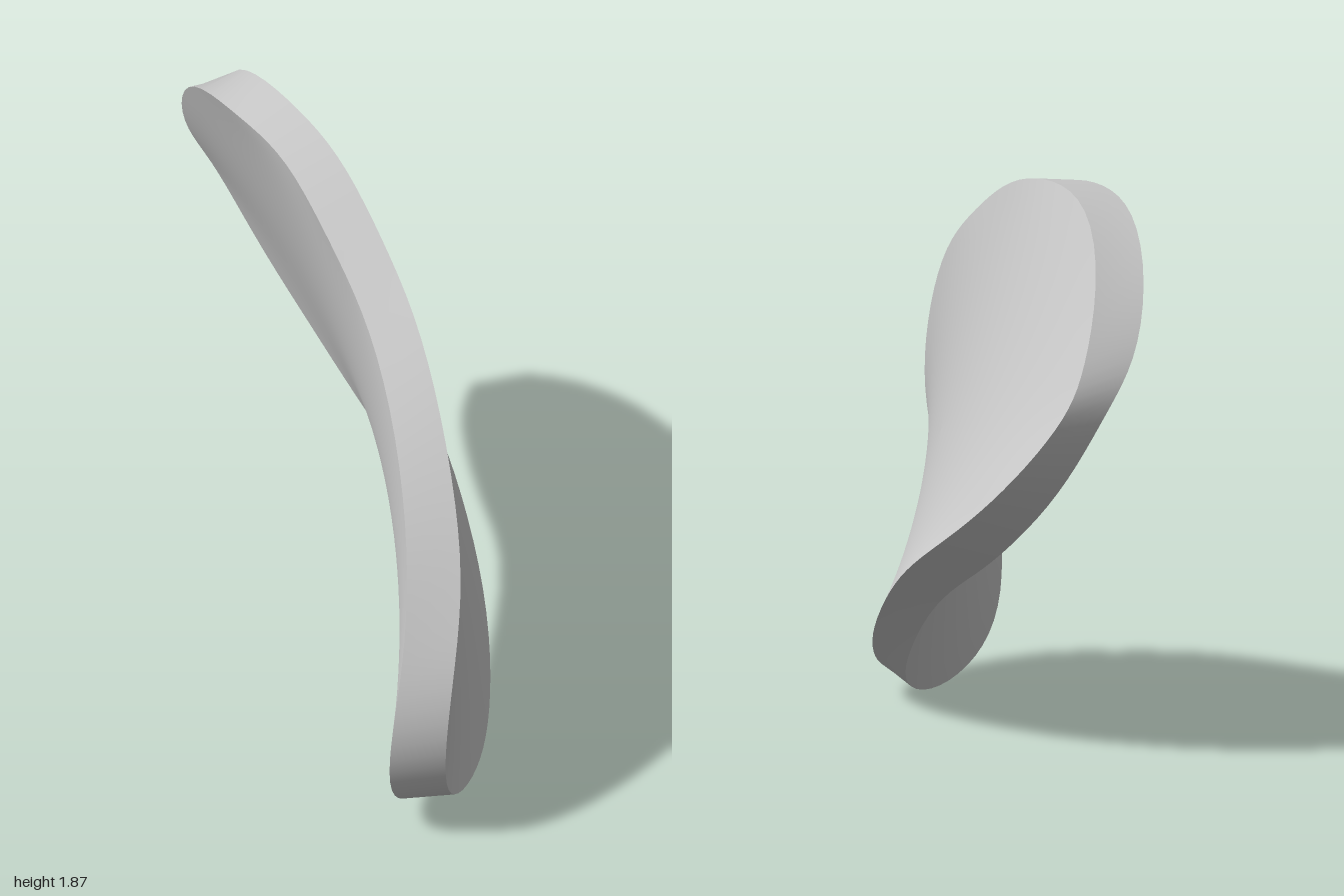
import * as THREE from 'three';

const SEGMENTS = 96, RINGS = 14, HARMONICS = 10;

// Rim control points, running left end -> top edge -> near end -> bottom edge
const frontRim = [
  [-0.9, 1.42, -0.77], [-0.82, 1.66, -0.61], [-0.62, 1.815, -0.39], [-0.4, 1.85, -0.23],
  [-0.2, 1.82, -0.1], [0, 1.73, 0.05], [0.2, 1.6, 0.21], [0.4, 1.43, 0.4],
  [0.6, 1.17, 0.66], [0.7, 0.9, 0.84], [0.735, 0.65, 0.96], [0.72, 0.42, 1.0],
  [0.69, 0.2, 0.93], [0.66, 0.065, 0.74], [0.625, 0, 0.46], [0.56, 0.04, 0.17],
  [0.41, 0.155, -0.1], [0.22, 0.31, -0.34], [0, 0.47, -0.53], [-0.2, 0.58, -0.66],
  [-0.4, 0.7, -0.77], [-0.6, 0.86, -0.86], [-0.78, 1.07, -0.9], [-0.87, 1.25, -0.87],
];
const backRim = [
  [-0.785, 1.36, -0.92], [-0.745, 1.6, -0.785], [-0.58, 1.815, -0.58], [-0.34, 1.87, -0.4],
  [-0.12, 1.84, -0.25], [0.09, 1.75, -0.1], [0.3, 1.62, 0.08], [0.5, 1.46, 0.27],
  [0.71, 1.2, 0.52], [0.83, 0.95, 0.7], [0.885, 0.7, 0.85], [0.885, 0.45, 0.92],
  [0.865, 0.24, 0.87], [0.835, 0.12, 0.73], [0.79, 0.07, 0.49], [0.71, 0.09, 0.25],
  [0.595, 0.175, -0.01], [0.41, 0.315, -0.3], [0.2, 0.475, -0.55], [-0.01, 0.61, -0.74],
  [-0.23, 0.735, -0.87], [-0.45, 0.88, -0.965], [-0.65, 1.06, -1.0], [-0.76, 1.22, -0.98],
];

// The long edges pull the middle of the chip backwards
const BULGE = new THREE.Vector3(0.055, 0.03, -0.078);

// Returns a function of r: one ring of a smooth saddle stretched inside the closed rim
function membrane(points) {
  const curve = new THREE.CatmullRomCurve3(
    points.map((p) => new THREE.Vector3(...p)), true, 'catmullrom', 0.5);
  const rim = curve.getPoints(SEGMENTS).slice(0, SEGMENTS);
  const terms = [];
  for (let n = 0; n <= HARMONICS; n++) {
    const c = new THREE.Vector3(), s = new THREE.Vector3();
    rim.forEach((p, j) => {
      const angle = (2 * Math.PI * n * j) / SEGMENTS;
      const weight = (n ? 2 : 1) / SEGMENTS;
      c.addScaledVector(p, weight * Math.cos(angle));
      s.addScaledVector(p, weight * Math.sin(angle));
    });
    terms.push({ c, s });
  }
  return (r) => rim.map((_, j) => {
    const v = BULGE.clone().multiplyScalar(1 - r * r);
    terms.forEach(({ c, s }, n) => {
      const angle = (2 * Math.PI * n * j) / SEGMENTS, k = Math.pow(r, n);
      v.addScaledVector(c, k * Math.cos(angle)).addScaledVector(s, k * Math.sin(angle));
    });
    return v;
  });
}

// Skins a list of closed rings
function skin(name, rings, material) {
  const positions = [], index = [];
  rings.forEach((ring) => ring.forEach((v) => positions.push(v.x, v.y, v.z)));
  for (let i = 0; i < rings.length - 1; i++) {
    for (let j = 0; j < SEGMENTS; j++) {
      const a = i * SEGMENTS + j, b = i * SEGMENTS + ((j + 1) % SEGMENTS);
      index.push(a, b, a + SEGMENTS, b, b + SEGMENTS, a + SEGMENTS);
    }
  }
  const geometry = new THREE.BufferGeometry();
  geometry.setAttribute('position', new THREE.Float32BufferAttribute(positions, 3));
  geometry.setIndex(index);
  geometry.computeVertexNormals();
  const mesh = new THREE.Mesh(geometry, material);
  mesh.name = name;
  return mesh;
}

export function createModel() {
  const group = new THREE.Group();
  group.name = 'curvedChip';
  const material = new THREE.MeshStandardMaterial({ color: 0xcccccc });
  const front = membrane(frontRim), back = membrane(backRim);
  const radii = Array.from({ length: RINGS + 1 }, (_, i) => i / RINGS);

  // Two saddle faces and the wall between their rims
  group.add(
    skin('frontFace', radii.map(front), material),
    skin('backFace', [...radii].reverse().map(back), material),
    skin('edgeWall', [front(1), back(1)], material),
  );
  return group;
}
